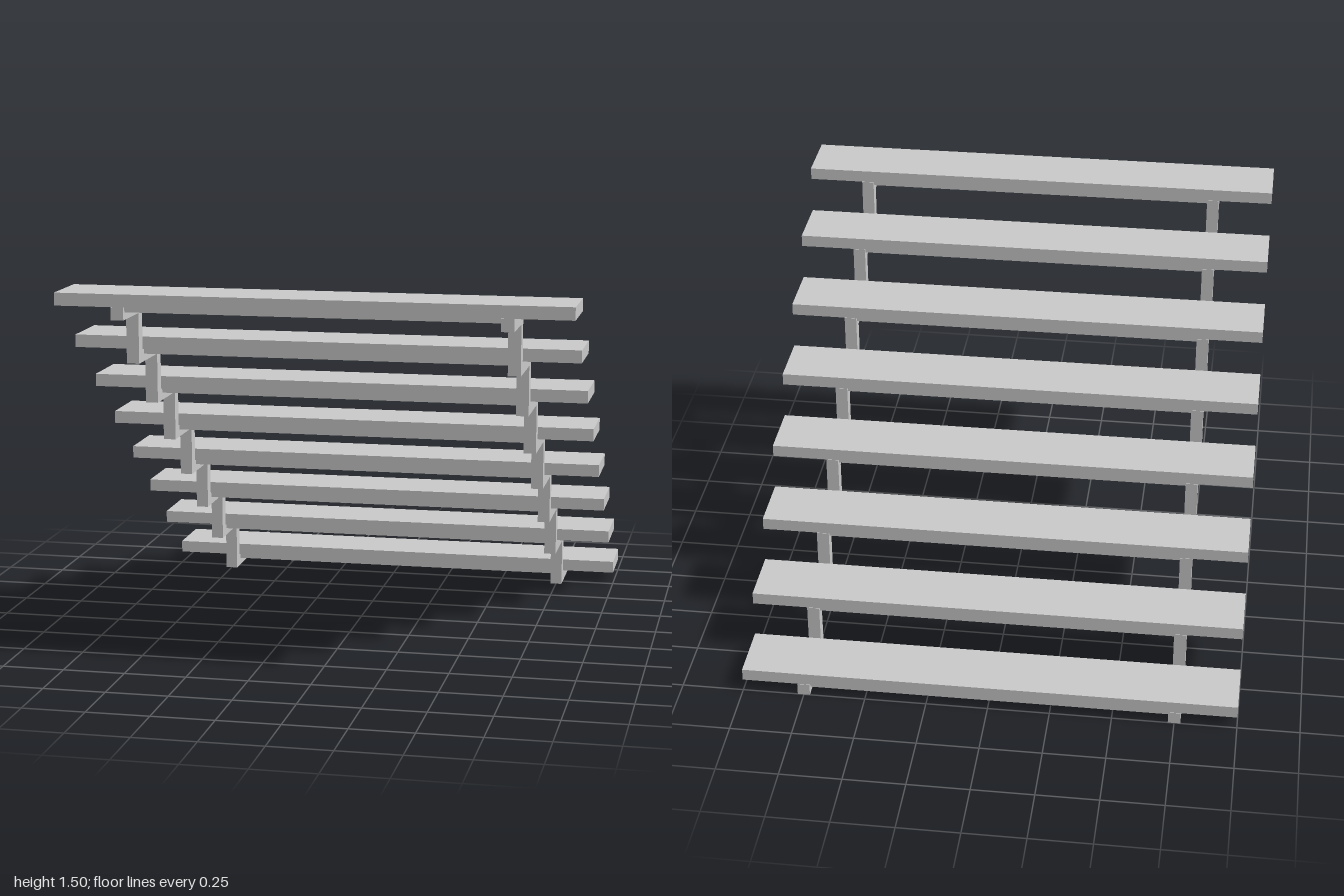
import * as THREE from 'three';

const STEPS = 8, RUN = 0.25, RISE = 0.2, T = 0.05;

export function createModel() {
  const group = new THREE.Group();
  group.name = 'openStaircase';
  const mat = new THREE.MeshStandardMaterial({ color: 0xcccccc, flatShading: true });

  const add = (name, geometry, x, y, z) => {
    const mesh = new THREE.Mesh(geometry, mat);
    mesh.name = name;
    mesh.position.set(x, y, z);
    group.add(mesh);
    return mesh;
  };

  // Treads, each with a thin support panel between the stringers
  const treadGeo = new THREE.BoxGeometry(2, T, RUN - 0.004);
  const panelGeo = new THREE.BoxGeometry(1.46, 0.02, RUN - 0.03);
  for (let i = 0; i < STEPS; i++) {
    const z = -1 + RUN * (i + 0.5);
    add('tread', treadGeo, 0, i * RISE + T * 1.5, z);
    add('treadSupport', panelGeo, 0, i * RISE + T - 0.01, z);
  }

  // Zigzag stringer profile: upper edge going up, lower edge coming back
  const upper = [], lower = [];
  for (let i = 0; i < STEPS; i++) {
    const a = -1 + i * RUN, b = a + RUN, y = i * RISE;
    const last = i === STEPS - 1;
    upper.push([a, y + T], [b, y + T]);
    lower.push([i ? a + T : a, y], [last ? b : b + T, y]);
  }
  const outline = [...upper, ...lower.reverse()].map(([z, y]) => new THREE.Vector2(z, y));
  const stringerGeo = new THREE.ExtrudeGeometry(new THREE.Shape(outline), { depth: T, bevelEnabled: false });
  stringerGeo.translate(0, 0, -T / 2);
  stringerGeo.rotateY(-Math.PI / 2); // profile x becomes +z
  for (const side of [-1, 1]) add(side > 0 ? 'leftStringer' : 'rightStringer', stringerGeo, side * 0.75, 0, 0);

  return group;
}
